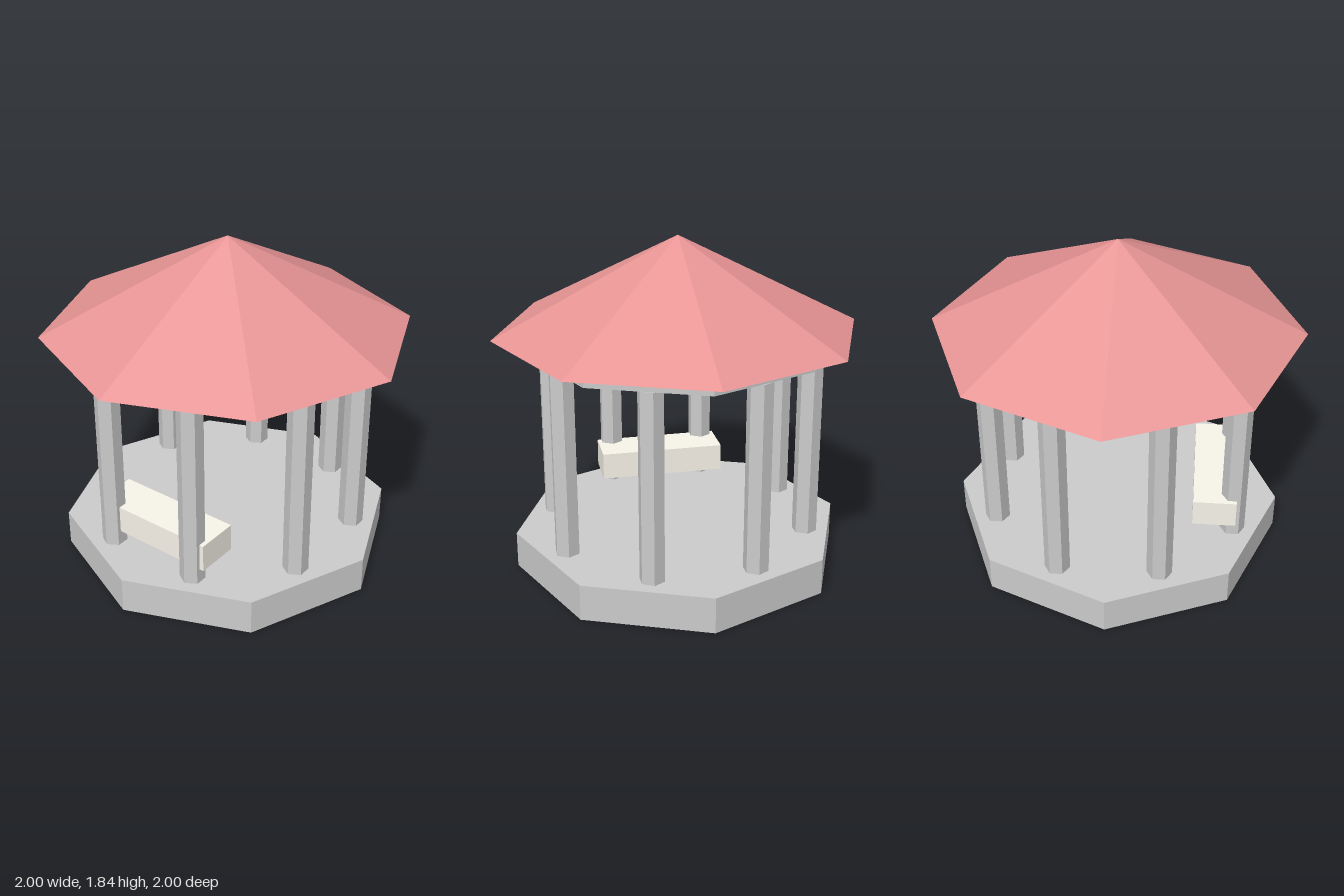
import * as THREE from 'three';

const SIDES = 8;
const PILLAR_RING = 0.72;

function material(color) {
  return new THREE.MeshStandardMaterial({ color, flatShading: true });
}

export function createModel() {
  const model = new THREE.Group();
  model.name = 'gazebo';
  const stone = material(0xcccccc);
  const tile = material(0xe79494);
  const wood = material(0xf8f4ea);

  // Places a geometry so that its underside sits at the given height
  function add(name, geometry, mat, x, bottom, z, parent = model) {
    const mesh = new THREE.Mesh(geometry, mat);
    mesh.name = name;
    mesh.position.set(x, bottom + geometry.parameters.height / 2, z);
    parent.add(mesh);
    return mesh;
  }

  // Octagonal floor, ceiling beam and roof
  add('floor', new THREE.CylinderGeometry(0.918, 0.918, 0.2, SIDES), stone, 0, 0, 0);
  add('ceilingBeam', new THREE.CylinderGeometry(0.838, 0.838, 0.08, SIDES), stone, 0, 1.245, 0);
  add('roof', new THREE.ConeGeometry(1, 0.517, SIDES), tile, 0, 1.325, 0);

  // Ring of hexagonal pillars, all turned the same way
  const pillars = new THREE.Group();
  pillars.name = 'pillars';
  model.add(pillars);
  const pillarGeometry = new THREE.CylinderGeometry(0.069, 0.069, 1.045, 6);
  for (let i = 0; i < SIDES; i++) {
    const angle = ((i + 0.5) / SIDES) * Math.PI * 2;
    add('pillar', pillarGeometry, stone,
      Math.sin(angle) * PILLAR_RING, 0.2, Math.cos(angle) * PILLAR_RING, pillars);
  }

  // Bench held between the two front pillars
  add('bench', new THREE.BoxGeometry(0.72, 0.156, 0.238), wood, 0, 0.283, 0.56);

  return model;
}
